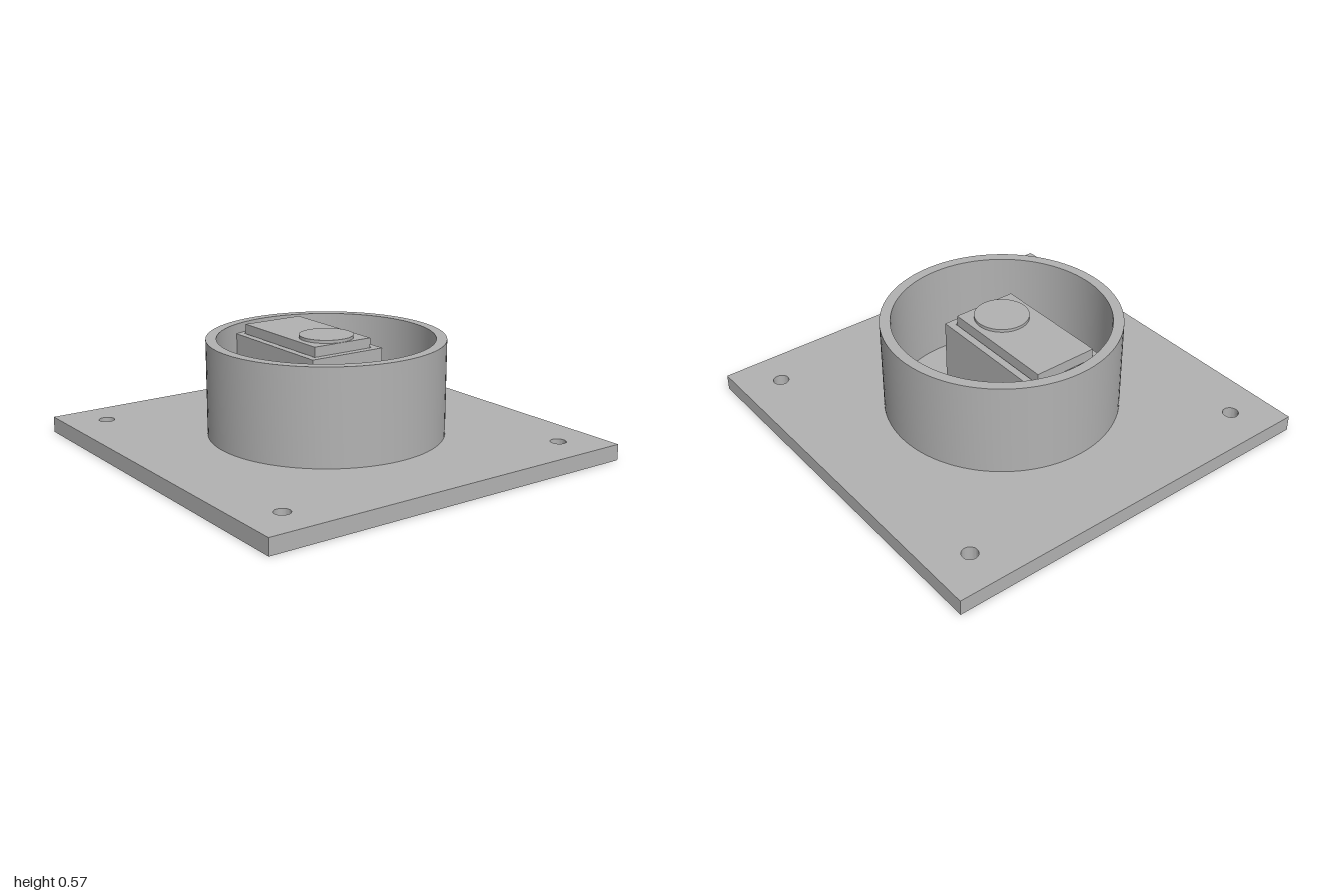
import * as THREE from 'three';
import { toCreasedNormals } from 'three/addons/utils/BufferGeometryUtils.js';

const grey = new THREE.MeshStandardMaterial({ color: 0xb2b2b2 });

function rectangle(x0, x1, halfZ) {
  return new THREE.Shape([
    new THREE.Vector2(x0, -halfZ), new THREE.Vector2(x1, -halfZ),
    new THREE.Vector2(x1, halfZ), new THREE.Vector2(x0, halfZ),
  ]);
}

function circle(x, z, radius, Type = THREE.Path) {
  return new Type().absarc(x, z, radius, 0, Math.PI * 2, false);
}

// Raise a ground-plan shape from y0 to y1, rounding only the curved walls
function raise(name, shape, y0, y1) {
  const extruded = new THREE.ExtrudeGeometry(shape, { depth: y1 - y0, bevelEnabled: false, curveSegments: 48 });
  extruded.rotateX(-Math.PI / 2).translate(0, y0, 0);
  const mesh = new THREE.Mesh(toCreasedNormals(extruded, 0.5), grey);
  mesh.name = name;
  return mesh;
}

export function createModel() {
  const model = new THREE.Group();
  model.name = 'mountedHousing';

  // Square base with four corner holes and two small holes under the tray
  const base = rectangle(-1, 1, 1);
  for (const z of [-1, 1]) {
    for (const x of [-0.8, 0.8]) base.holes.push(circle(x, z * 0.8, 0.039));
    base.holes.push(circle(-0.443, z * 0.137, 0.027));
  }
  model.add(raise('basePlate', base, 0, 0.08));

  // Round open housing wall
  const wall = circle(0, 0, 0.585, THREE.Shape);
  wall.holes.push(circle(0, 0, 0.533));
  model.add(raise('housingRing', wall, 0.08, 0.555));

  // Hollow tray holding a close-fitting insert
  const tray = rectangle(-0.513, 0.178, 0.206);
  tray.holes.push(rectangle(-0.477, 0.142, 0.169));
  model.add(raise('tray', tray, 0.08, 0.505));
  model.add(raise('insert', rectangle(-0.472, 0.137, 0.164), 0.1, 0.553));

  // Low button on the housing axis
  model.add(raise('button', circle(0, 0, 0.133, THREE.Shape), 0.553, 0.568));

  return model;
}
